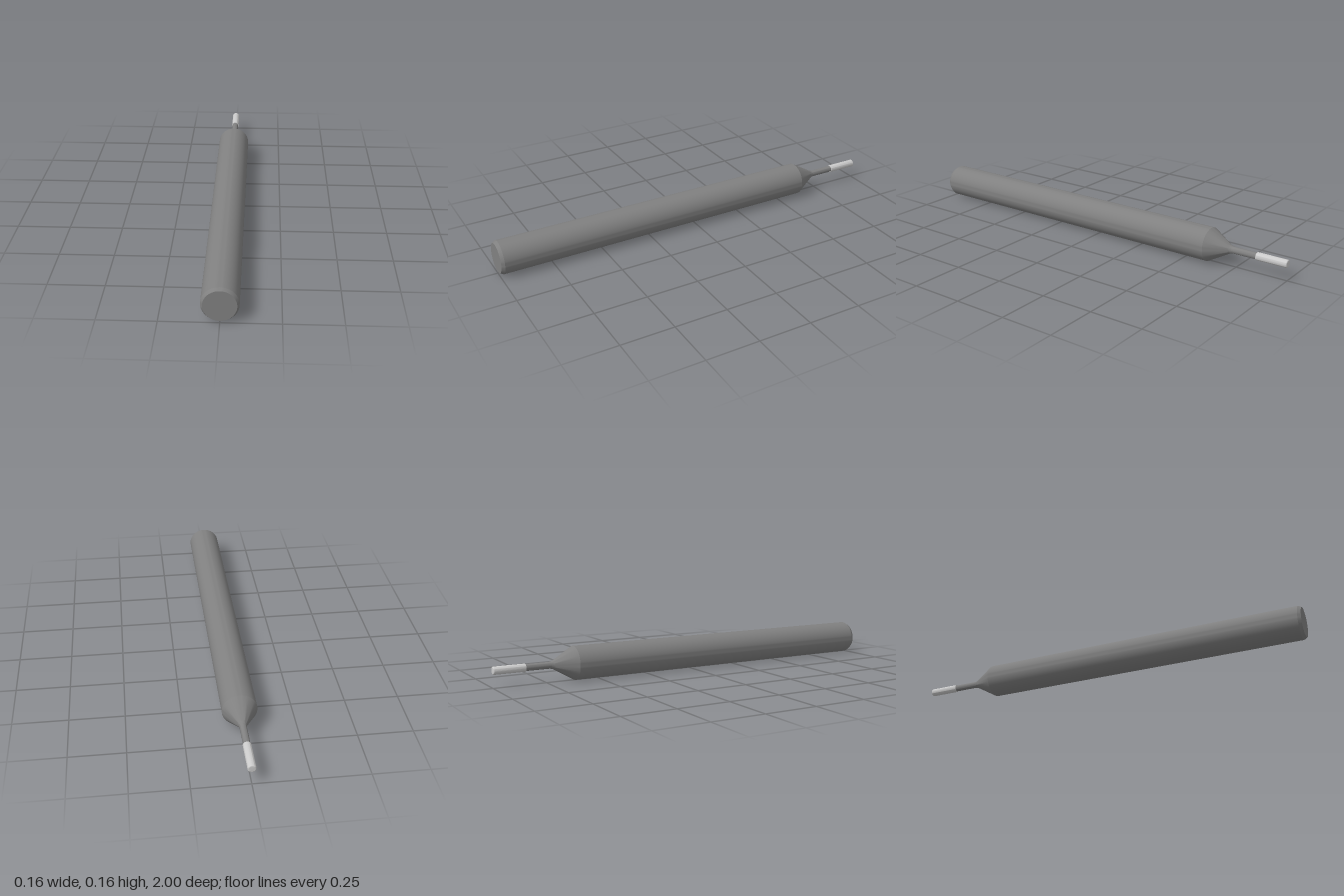
import * as THREE from 'three';
import { toCreasedNormals } from 'three/addons/utils/BufferGeometryUtils.js';

const RADIUS = 0.079;      // shank radius
const NECK = 0.0155;       // neck radius
const TIP = 0.0185;        // cutting tip radius
const SHOULDER = -0.615;   // z where the cone begins
const NECK_END = -0.85;    // z where the tip begins
const SLOPE = Math.PI / 6; // half angle of the cone

// Points on an arc around (r, z), from angle a to angle b
function arc(r, z, radius, a, b, steps) {
  return Array.from({ length: steps + 1 }, (_, i) => {
    const t = a + ((b - a) * i) / steps;
    return [r + radius * Math.cos(t), z + radius * Math.sin(t)];
  });
}

// Turned part along z, from [radius, z] pairs listed back to front
function turned(name, profile, material) {
  const points = profile.map(([r, z]) => new THREE.Vector2(Math.max(r, 0), z));
  const geometry = new THREE.LatheGeometry(points, 64).rotateX(Math.PI / 2);
  const mesh = new THREE.Mesh(toCreasedNormals(geometry, 0.4), material);
  mesh.name = name;
  mesh.position.y = RADIUS;
  return mesh;
}

export function createModel() {
  const group = new THREE.Group();
  group.name = 'endMill';
  const carbide = new THREE.MeshStandardMaterial({ color: 0x808080 });
  const bright = new THREE.MeshStandardMaterial({ color: 0xcccccc });

  // Shank with chamfered end, conical shoulder, and neck blended by a fillet
  const coneFoot = SHOULDER - (RADIUS - NECK) / Math.tan(SLOPE);
  const blend = 0.015;
  const fillet = blend / Math.tan(SLOPE / 2);
  group.add(turned('shankAndNeck', [
    [0, NECK_END],
    [NECK, NECK_END],
    ...arc(NECK + fillet, coneFoot - blend, fillet, Math.PI, Math.PI - SLOPE, 6),
    [RADIUS, SHOULDER],
    [RADIUS, 0.985],
    [0.07, 1],
    [0, 1],
  ], carbide));

  // Cutting tip with a small rounded corner
  const corner = 0.005;
  group.add(turned('cuttingTip', [
    [0, -1],
    ...arc(TIP - corner, -1 + corner, corner, -Math.PI / 2, 0, 6),
    [TIP, NECK_END],
    [0, NECK_END],
  ], bright));

  return group;
}
